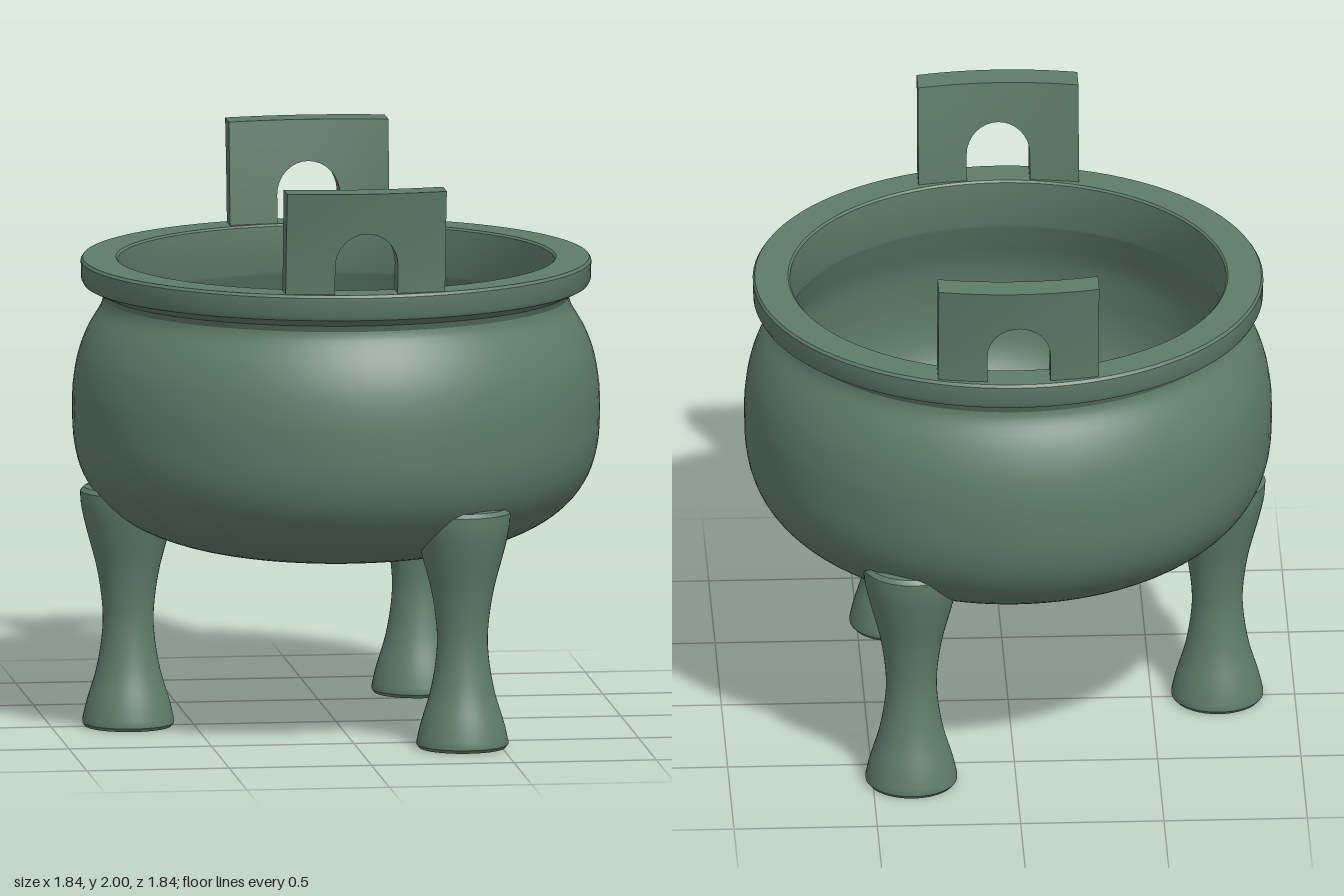
import * as THREE from 'three';
import { toCreasedNormals } from 'three/addons/utils/BufferGeometryUtils.js';

const bronze = new THREE.MeshStandardMaterial({ color: 0x5f7b6b });
bronze.name = 'green bronze';

const BELLY_Y = 1.12, POWER = 2.8;

// Lower half of a squashed bowl, from its bottom centre out to its widest ring
function bowlCurve(radius, depth, steps = 28) {
  const points = [];
  for (let i = 0; i <= steps; i++) {
    const a = (i / steps) * Math.PI / 2;
    points.push(new THREE.Vector2(
      radius * Math.sin(a) ** (2 / POWER),
      BELLY_Y - depth * Math.max(0, Math.cos(a)) ** (2 / POWER)));
  }
  points[0].x = 0;
  return points;
}

// Height of the bowl's underside at distance r from the axis
function undersideY(r) {
  if (r >= 0.92) return BELLY_Y;
  return BELLY_Y - 0.52 * (1 - (r / 0.92) ** POWER) ** (1 / POWER);
}

const vectors = (pairs) => pairs.map(([x, y]) => new THREE.Vector2(x, y));
const smooth = (pairs, n) => new THREE.SplineCurve(vectors(pairs)).getPoints(n);

function part(name, geometry, crease = 0.6) {
  const mesh = new THREE.Mesh(toCreasedNormals(geometry, crease), bronze);
  mesh.name = name;
  return mesh;
}

// Round vessel: outside, flared lip, neck and hollow inside in one profile
function createBowl() {
  const profile = [
    ...bowlCurve(0.92, 0.52),
    ...smooth([[0.92, 1.12], [0.917, 1.2], [0.9, 1.3], [0.866, 1.39], [0.822, 1.465], [0.812, 1.5]], 16).slice(1),
    ...vectors([[0.822, 1.522], [0.88, 1.55], [0.888, 1.565], [0.89, 1.63], [0.883, 1.64],
      [0.767, 1.64], [0.76, 1.633]]),
    ...smooth([[0.757, 1.47], [0.785, 1.4], [0.83, 1.28], [0.85, 1.12]], 12),
    ...bowlCurve(0.85, 0.45).reverse().slice(1),
  ];
  return part('bowl', new THREE.LatheGeometry(profile, 96));
}

// Waisted leg whose top is trimmed to stay within the bowl wall
function createLeg(angle) {
  const profile = [
    ...vectors([[0, 0], [0.15, 0], [0.16, 0.012]]),
    ...smooth([[0.16, 0.025], [0.145, 0.09], [0.112, 0.2], [0.092, 0.32], [0.09, 0.42],
      [0.108, 0.55], [0.142, 0.68], [0.163, 0.77], [0.168, 0.83]], 28),
    ...vectors([[0.155, 0.845], [0.12, 0.85], [0.08, 0.855], [0.04, 0.855], [0, 0.855]]),
  ];
  const geometry = new THREE.LatheGeometry(profile, 40);
  geometry.translate(0.73 * Math.cos(angle), 0, 0.73 * Math.sin(angle));
  const p = geometry.attributes.position;
  for (let i = 0; i < p.count; i++) {
    const r = Math.hypot(p.getX(i), p.getZ(i));
    p.setY(i, Math.min(p.getY(i), undersideY(r) + 0.03));
  }
  return part('leg', geometry);
}

// Upright arched handle: a box bent around the opening, then curved and leaned outward
function createHandle() {
  const geometry = new THREE.BoxGeometry(1, 1, 1, 40, 4, 1);
  const p = geometry.attributes.position;
  const foot = 1.58, spring = 1.74, top = 2;
  for (let i = 0; i < p.count; i++) {
    const u = p.getX(i) + 0.5, v = p.getY(i) + 0.5, outside = p.getZ(i) > 0;
    let ix, iy, ox, oy;
    if (u > 0.299 && u < 0.701) {
      const t = (u - 0.3) / 0.4;
      ix = -0.11 * Math.cos(Math.PI * t);
      iy = spring + 0.115 * Math.sin(Math.PI * t);
      ox = 0.28 * (2 * t - 1);
      oy = top;
    } else {
      const side = u < 0.5 ? -1 : 1;
      const t = (u < 0.5 ? u : 1 - u) / 0.3;
      ix = 0.11 * side;
      iy = foot + (spring - foot) * t;
      ox = 0.28 * side;
      oy = foot + (top - foot) * t;
    }
    const x = ix + (ox - ix) * v, y = iy + (oy - iy) * v;
    const rise = Math.max(0, (y - 1.6) / 0.4) ** 1.5;
    const z = (outside ? 0.857 + 0.05 * rise : 0.77 + 0.032 * rise) - 0.4 * x * x;
    p.setXYZ(i, x, y, z);
  }
  return part('handle', geometry);
}

export function createModel() {
  const model = new THREE.Group();
  model.name = 'tripod cauldron';
  model.add(createBowl());

  ['rightLeg', 'backLeftLeg', 'frontLeftLeg'].forEach((name, i) => {
    const leg = createLeg(Math.PI + i * Math.PI * 2 / 3);
    leg.name = name;
    model.add(leg);
  });

  ['frontHandle', 'backHandle'].forEach((name, i) => {
    const handle = createHandle();
    handle.name = name;
    handle.rotation.y = i * Math.PI;
    model.add(handle);
  });
  return model;
}
